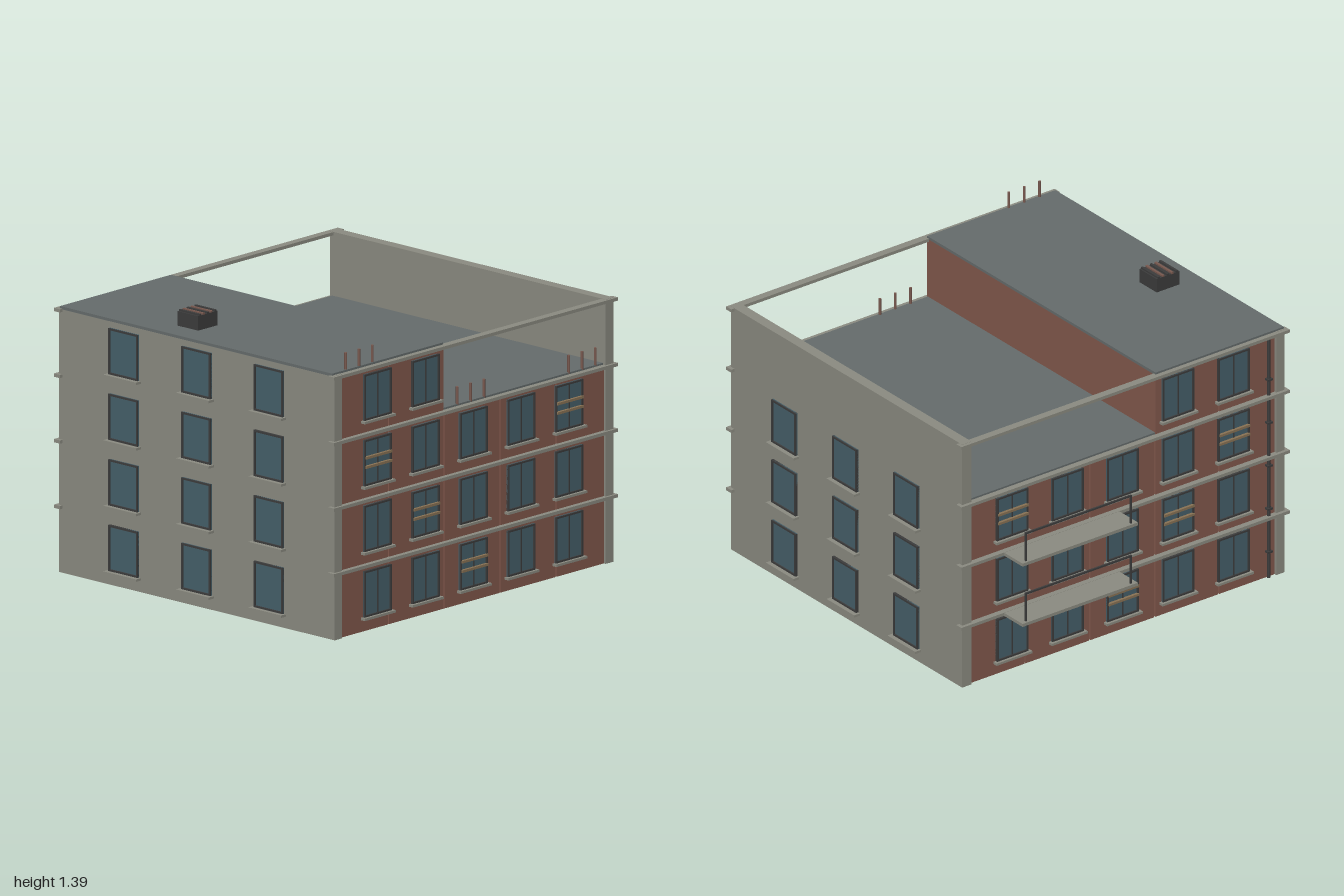
import * as THREE from 'three';

const mat = (color) => new THREE.MeshStandardMaterial({ color });

export function createModel() {
  const model = new THREE.Group();
  model.name = 'apartmentBuilding';

  const concrete = mat(0x8c8c82), brick = mat(0x83594d), roofing = mat(0x666d6d);
  const glass = mat(0x46606a), dark = mat(0x3d3d3d), wood = mat(0x8a7355), clay = mat(0x7a5a50);
  const unit = new THREE.BoxGeometry(1, 1, 1);

  // Box given by its min and max on each axis
  function box(parent, name, material, [x0, x1], [y0, y1], [z0, z1]) {
    const mesh = new THREE.Mesh(unit, material);
    mesh.name = name;
    mesh.scale.set(x1 - x0, y1 - y0, z1 - z0);
    mesh.position.set((x0 + x1) / 2, (y0 + y1) / 2, (z0 + z1) / 2);
    parent.add(mesh);
    return mesh;
  }

  function post(parent, name, material, radius, height, x, y, z) {
    const mesh = new THREE.Mesh(new THREE.CylinderGeometry(radius, radius, height, 10), material);
    mesh.name = name;
    mesh.position.set(x, y + height / 2, z);
    parent.add(mesh);
  }

  const FLOOR = 0.322, FRONT = 0.955, BACK = -0.81, SIDE = 0.965;

  // Window facing local +z, with its bottom centre at the origin
  function makeWindow({ sill, mullion, bars }) {
    const w = new THREE.Group();
    w.name = 'window';
    const hw = 0.094, h = 0.226, t = 0.009, d = 0.013;
    box(w, 'glass', glass, [-hw, hw], [0, h], [-0.005, 0.006]);
    for (const s of [-1, 1]) {
      const xs = [s * hw, s * (hw - t)].sort((a, b) => a - b);
      box(w, 'frameSide', dark, xs, [0, h], [-0.005, d]);
    }
    box(w, 'frameTop', dark, [-hw, hw], [h - t, h], [-0.005, d]);
    box(w, 'frameBottom', dark, [-hw, hw], [0, t], [-0.005, d]);
    if (mullion) box(w, 'mullion', dark, [-0.003, 0.003], [t, h - t], [0, 0.01]);
    if (bars) {
      for (const y of [0.093, 0.139]) {
        box(w, 'guardBar', wood, [-hw + 0.004, hw - 0.004], [y - 0.006, y + 0.006], [0.004, 0.02]);
      }
    }
    box(w, 'sill', concrete, [-0.107, 0.107], [-0.012, 0], [-0.005, sill]);
    return w;
  }

  function placeWindow(x, y, z, turn, options) {
    const w = makeWindow(options);
    w.position.set(x, y, z);
    w.rotation.y = turn;
    model.add(w);
  }

  // Brick bays, separated by narrow expansion joints; the two at -x are taller
  const joints = [-0.915, -0.58, -0.197, 0.191, 0.579, 0.912];
  for (let i = 0; i < 5; i++) {
    const x0 = joints[i] + (i > 0 ? 0.004 : 0), x1 = joints[i + 1] - (i < 4 ? 0.004 : 0);
    box(model, 'brickBay', brick, [x0, x1], [0, i < 2 ? 1.295 : 0.972], [BACK, FRONT]);
  }

  // Concrete end walls
  box(model, 'leftEndWall', concrete, [0.91, SIDE], [0, 1.298], [-0.823, 0.967]);
  box(model, 'rightEndWall', concrete, [-SIDE, -0.915], [0, 1.298], [-0.823, 0.967]);

  // Roof slabs
  box(model, 'upperRoof', roofing, [-0.966, -0.199], [1.293, 1.307], [-0.815, 0.952]);
  box(model, 'lowerRoof', roofing, [-0.201, 0.912], [0.97, 0.984], [-0.808, 0.95]);

  // Horizontal bands on front and back
  for (let k = 1; k <= 4; k++) {
    const y = k * FLOOR + 0.001;
    box(model, 'frontBand', concrete, [-0.983, 0.983], [y - 0.008, y + 0.008], [0.94, 0.98]);
    box(model, 'backBand', concrete, [-0.983, 0.983], [y - 0.008, y + 0.008], [-0.84, -0.8]);
  }

  // Front and back windows
  const columns = [-0.664, -0.332, 0, 0.33, 0.661];
  for (let row = 0; row < 4; row++) {
    const y = 0.07 + row * FLOOR;
    columns.forEach((x, col) => {
      if (row === 3 && col > 1) return;
      const options = { sill: 0.026, mullion: true, bars: (row + col) % 4 === 2 };
      placeWindow(x, y, FRONT, 0, options);
      placeWindow(x, y, BACK, Math.PI, options);
    });
    // End wall windows
    for (const z of [0.545, 0.075, -0.397]) {
      const options = { sill: 0.035, mullion: false, bars: false };
      if (row < 3) placeWindow(SIDE, y, z, Math.PI / 2, options);
      placeWindow(-SIDE, y, z, -Math.PI / 2, options);
    }
  }

  // Rear balconies with a simple rail
  for (const k of [1, 2]) {
    const balcony = new THREE.Group();
    balcony.name = 'balcony';
    balcony.position.y = k * FLOOR;
    box(balcony, 'balconySlab', concrete, [0.037, 0.727], [-0.008, 0.008], [-0.983, BACK]);
    box(balcony, 'handrail', dark, [0.064, 0.7], [0.15, 0.159], [-0.972, -0.963]);
    for (const x of [0.068, 0.696]) {
      box(balcony, 'railPost', dark, [x - 0.004, x + 0.004], [0.008, 0.152], [-0.972, -0.963]);
    }
    model.add(balcony);
  }

  // Drainpipe with brackets at the rear
  post(model, 'drainpipe', dark, 0.008, 1.285, -0.872, 0, -0.82);
  for (let i = 0; i < 5; i++) {
    const y = 0.14 + i * 0.23;
    box(model, 'pipeBracket', dark, [-0.886, -0.858], [y - 0.005, y + 0.005], [-0.834, BACK]);
  }

  // Vent pipes along the front roof edges, in groups of three
  for (const [cx, y] of [[-0.774, 1.3], [-0.002, 0.978], [0.769, 0.978]]) {
    for (const dx of [-0.092, 0, 0.092]) post(model, 'ventPipe', clay, 0.007, 0.09, cx + dx, y, 0.945);
  }

  // Rooftop air unit with slatted top
  box(model, 'airUnit', dark, [-0.84, -0.705], [1.3, 1.378], [-0.17, -0.037]);
  for (let i = 0; i < 5; i++) {
    const x = -0.832 + i * 0.027;
    box(model, 'airUnitSlat', i % 2 ? clay : dark, [x, x + 0.012], [1.375, 1.386], [-0.17, -0.037]);
  }

  return model;
}
